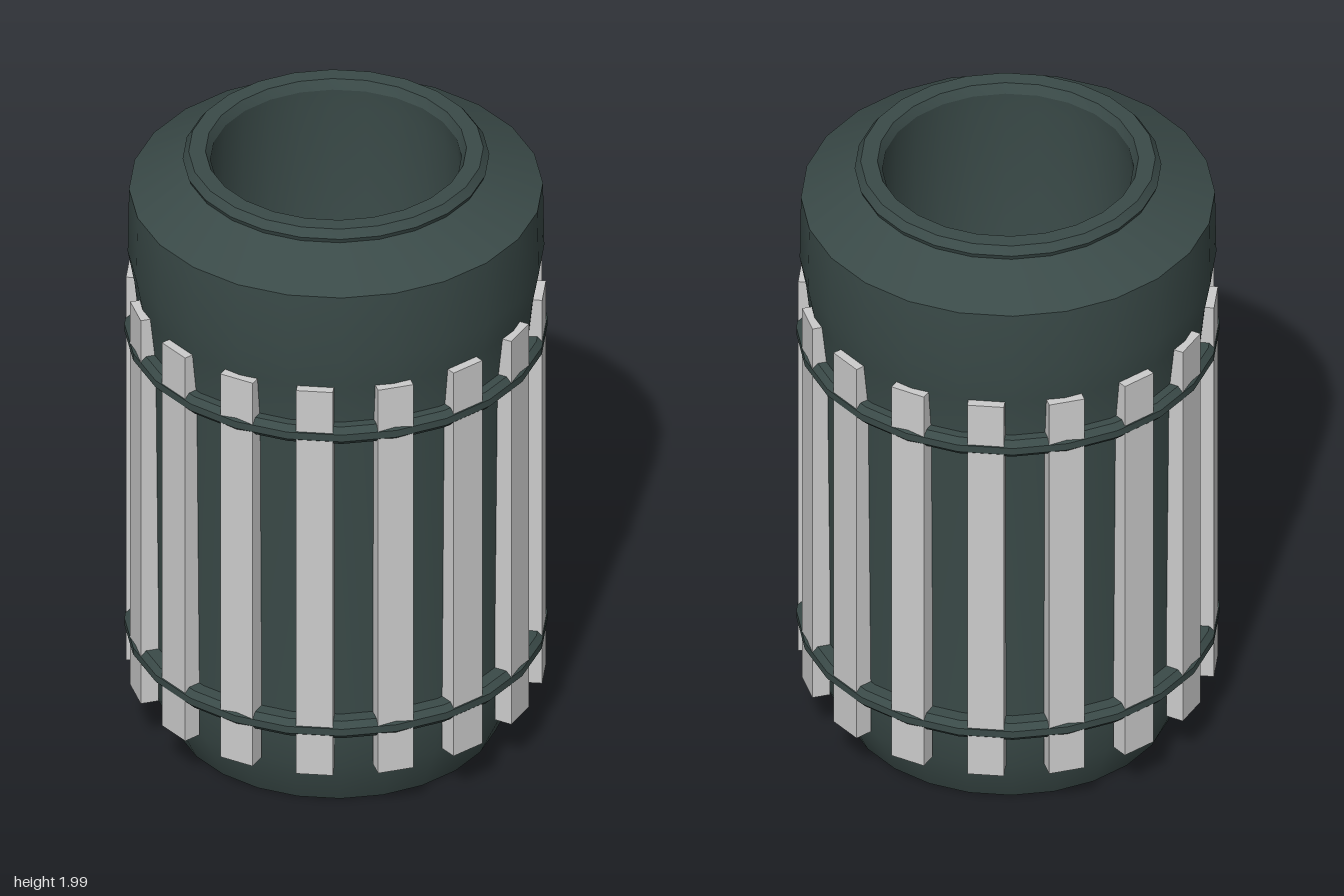
import * as THREE from 'three';
import { toCreasedNormals } from 'three/addons/utils/BufferGeometryUtils.js';

const SIDES = 24;
const SLATS = 16;

export function createModel() {
  const bin = new THREE.Group();
  bin.name = 'litterBin';
  const green = new THREE.MeshStandardMaterial({ color: 0x3a4a48, side: THREE.DoubleSide });
  const grey = new THREE.MeshStandardMaterial({ color: 0xcccccc });

  // Revolve a [radius, height] profile, keeping edges sharper than the crease angle
  const revolve = (name, points, crease = 0.6) => {
    const profile = points.map(([r, y]) => new THREE.Vector2(r, y));
    const geometry = toCreasedNormals(new THREE.LatheGeometry(profile, SIDES), crease);
    const mesh = new THREE.Mesh(geometry, green);
    mesh.name = name;
    bin.add(mesh);
  };

  // Outer shell: base, drum widening to the collar, sloping shoulder
  revolve('body', [
    [0, 0.01], [0.49, 0.01], [0.565, 0.17], [0.575, 0.35], [0.585, 1.38],
    [0.602, 1.54], [0.622, 1.65], [0.618, 1.87], [0.45, 1.96],
  ]);

  // Raised lip round the opening
  revolve('openingRim', [
    [0.45, 1.955], [0.458, 1.975], [0.44, 2], [0.39, 2], [0.375, 1.97],
  ]);

  // Deep liner below the opening, blending softly into its floor
  revolve('liner', [[0.375, 1.97], [0.38, 1.9], [0.38, 0.06], [0, 0.06]], Math.PI);

  // Two hoops holding the slats
  for (const [name, y] of [['lowerHoop', 0.335], ['upperHoop', 1.38]]) {
    revolve(name, [
      [0.575, y - 0.03], [0.615, y - 0.03], [0.632, y - 0.012], [0.632, y + 0.012],
      [0.615, y + 0.03], [0.575, y + 0.03], [0.575, y - 0.03],
    ]);
  }

  // Vertical slats spaced evenly round the drum
  const slats = new THREE.Group();
  slats.name = 'slats';
  const slatGeometry = new THREE.BoxGeometry(0.11, 1.36, 0.055);
  for (let i = 0; i < SLATS; i++) {
    const angle = (i / SLATS) * Math.PI * 2;
    const slat = new THREE.Mesh(slatGeometry, grey);
    slat.name = 'slat';
    slat.position.set(Math.sin(angle) * 0.597, 0.86, Math.cos(angle) * 0.597);
    slat.rotation.y = angle;
    slats.add(slat);
  }
  bin.add(slats);

  return bin;
}
